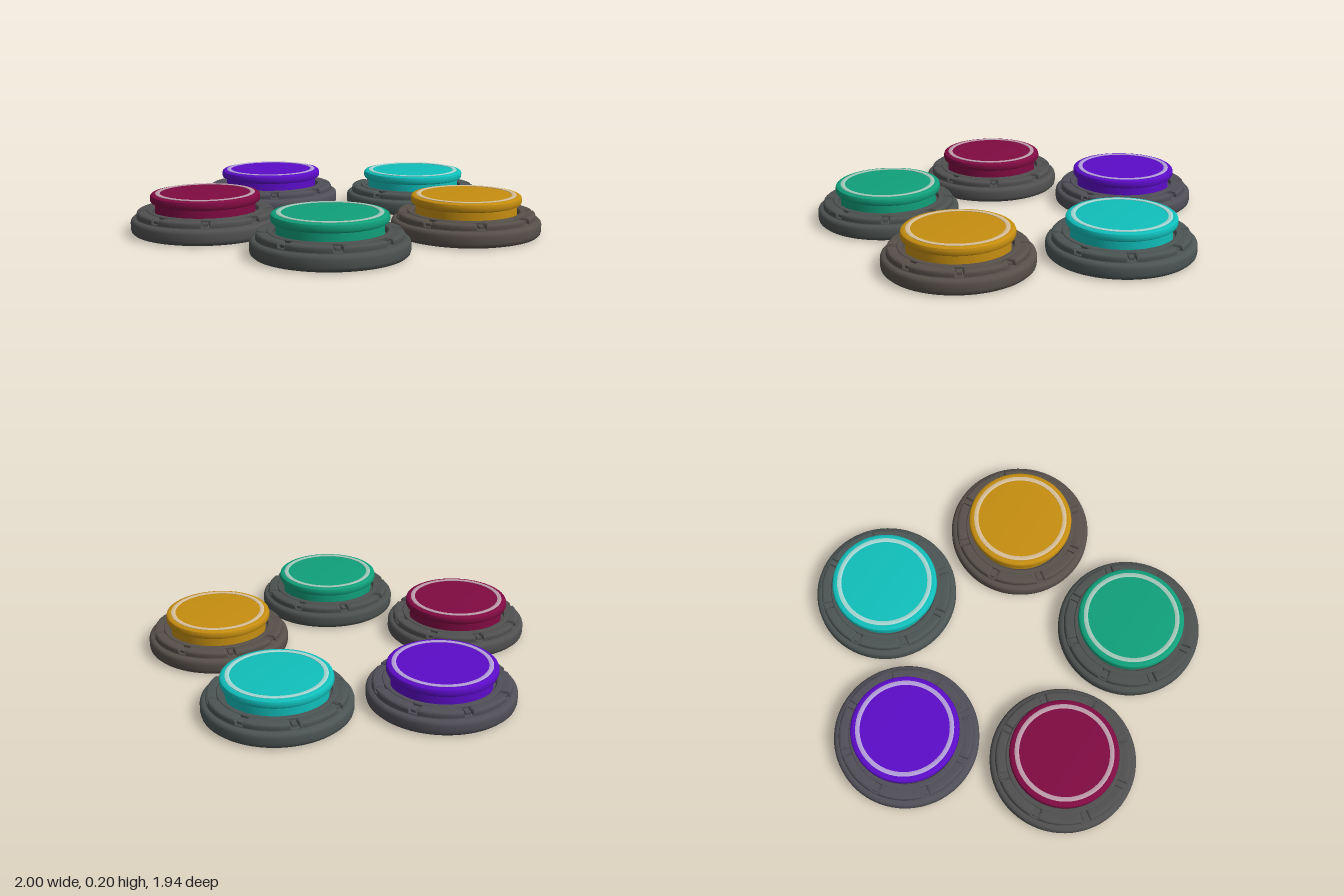
import * as THREE from 'three';
import { toCreasedNormals } from 'three/addons/utils/BufferGeometryUtils.js';

const SEG = 64;
const NOTCHES = 8;

// Revolve [radius, height] points, keeping hard edges crisp
function turned(points) {
  const g = new THREE.LatheGeometry(points.map(([r, y]) => new THREE.Vector2(r, y)), SEG);
  return toCreasedNormals(g, 0.6);
}

// One solid arc of the raised collar, between two notches
function collarArc(inner, outer, y0, y1, start, end) {
  const bevel = 0.012;
  const shape = new THREE.Shape();
  shape.absarc(0, 0, outer - bevel, start, end, false);
  shape.absarc(0, 0, inner, end, start, true);
  shape.closePath();
  const g = new THREE.ExtrudeGeometry(shape, {
    depth: y1 - y0 - bevel, curveSegments: 10,
    bevelEnabled: true, bevelThickness: bevel, bevelSize: bevel, bevelOffset: 0, bevelSegments: 3,
  });
  g.rotateX(-Math.PI / 2);
  g.translate(0, y0, 0);
  return toCreasedNormals(g, 0.6);
}

export function createModel() {
  const model = new THREE.Group();

  // Shared parts
  const baseGeo = turned([
    [0, 0], [0.335, 0], [0.35, 0.004], [0.36, 0.013], [0.363, 0.025], [0.363, 0.058],
    [0.36, 0.068], [0.353, 0.075], [0.342, 0.078], [0.336, 0.078], [0.333, 0.085],
    [0.31, 0.088], [0, 0.088],
  ]);
  const innerRimGeo = turned([
    [0.285, 0.08], [0.285, 0.11], [0.281, 0.114], [0.262, 0.114], [0.257, 0.108], [0.257, 0.08],
  ]);
  const half = Math.PI / NOTCHES;
  const gap = 0.1;
  const arcGeo = collarArc(0.277, 0.334, 0.078, 0.11, -half + gap, half - gap);
  const clipGeo = new THREE.BoxGeometry(0.045, 0.014, 0.024);
  const sideGeo = new THREE.BoxGeometry(0.008, 0.024, 0.045);
  const stemGeo = turned([[0.245, 0.08], [0.245, 0.158]]);
  const capGeo = turned([
    [0.235, 0.15], [0.256, 0.15], [0.264, 0.154], [0.268, 0.162], [0.268, 0.178],
    [0.265, 0.187], [0.258, 0.192], [0.248, 0.193], [0, 0.193],
  ]);
  const ringGeo = turned([
    [0.242, 0.19], [0.242, 0.195], [0.24, 0.196], [0.222, 0.196], [0.22, 0.195], [0.22, 0.19],
  ]);

  function addButton(name, x, z, capColor, ringColor, baseColor) {
    const button = new THREE.Group();
    button.name = name;
    button.position.set(x, 0, z);
    const baseMat = new THREE.MeshStandardMaterial({ color: baseColor });
    const capMat = new THREE.MeshStandardMaterial({ color: capColor });
    const ringMat = new THREE.MeshStandardMaterial({ color: ringColor });
    const add = (geo, mat, part, parent = button) => {
      const mesh = new THREE.Mesh(geo, mat);
      mesh.name = part;
      parent.add(mesh);
      return mesh;
    };

    add(baseGeo, baseMat, 'base');
    add(innerRimGeo, baseMat, 'innerRim');

    // Collar arcs with a clip sitting in each notch between them
    for (let i = 0; i < NOTCHES; i++) {
      const angle = (i / NOTCHES) * Math.PI * 2;
      add(arcGeo, baseMat, 'collarArc').rotation.y = angle + half;
      const notch = new THREE.Group();
      notch.name = 'notch';
      notch.rotation.y = angle;
      button.add(notch);
      add(clipGeo, baseMat, 'notchClip', notch).position.set(0.303, 0.094, 0);
      for (const s of [-1, 1]) {
        const side = add(sideGeo, baseMat, 'notchSide', notch);
        side.position.set(0.304, 0.096, s * 0.026);
        side.rotation.y = Math.PI / 2;
      }
    }

    add(stemGeo, capMat, 'stem');
    add(capGeo, capMat, 'cap');
    add(ringGeo, ringMat, 'capRing');
    model.add(button);
  }

  // Five buttons on a pentagon: name, cap, ring and base colours
  const buttons = [
    ['cyanButton', 0x10bfbb, 0xa5d8d4, 0x4c5454],
    ['yellowButton', 0xc68e10, 0xd9c09a, 0x57504a],
    ['greenButton', 0x10a07a, 0xa3c9bb, 0x4c514f],
    ['redButton', 0x800b42, 0xbf9dac, 0x505050],
    ['purpleButton', 0x5c0cc8, 0xb5a0dc, 0x504f57],
  ];
  const R = 0.669;
  buttons.forEach(([name, cap, ring, base], i) => {
    const a = (i / 5) * Math.PI * 2;
    addButton(name, R * Math.sin(a), 0.06 - R * Math.cos(a), cap, ring, base);
  });

  return model;
}
